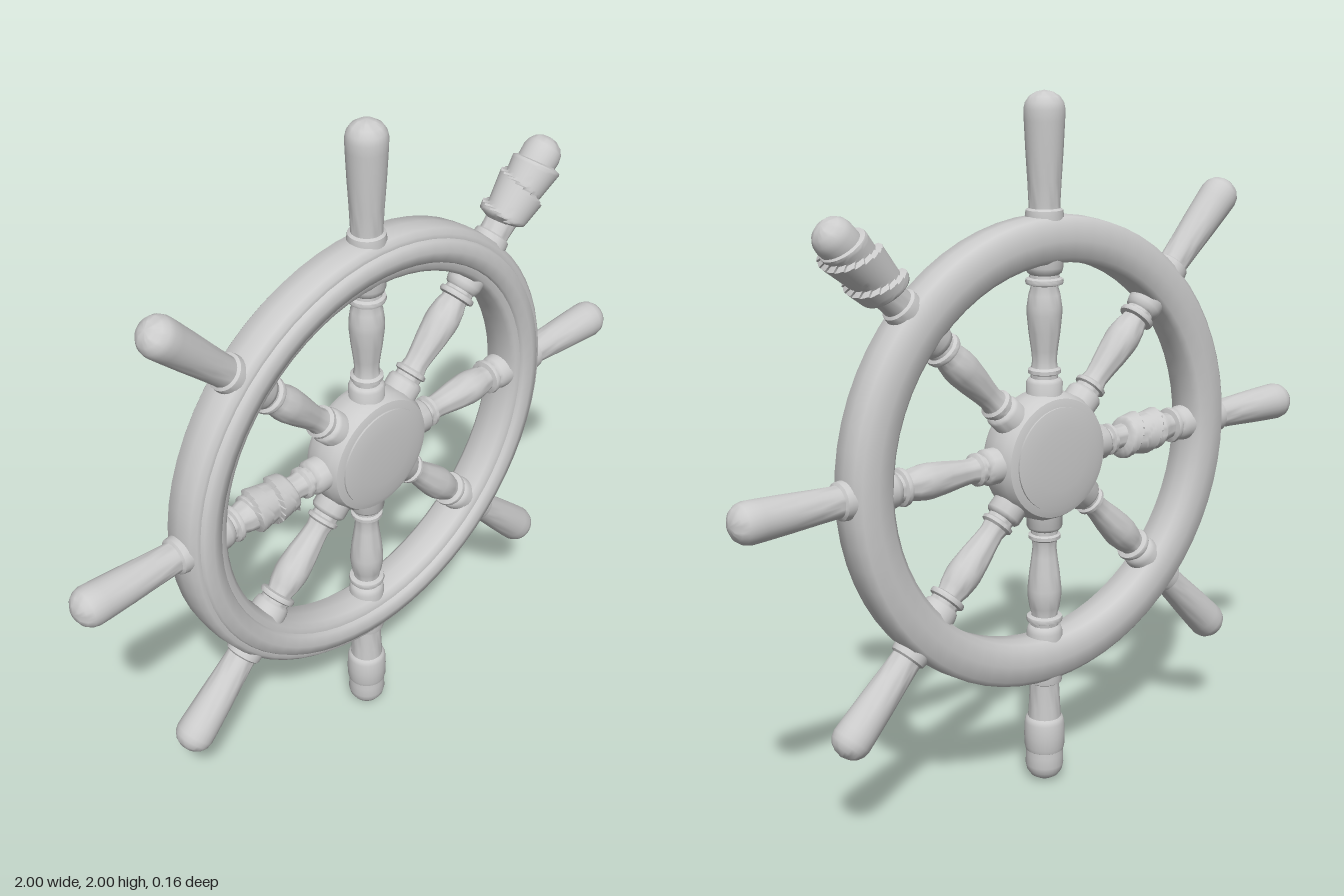
import * as THREE from 'three';
import { toCreasedNormals } from 'three/addons/utils/BufferGeometryUtils.js';

const material = new THREE.MeshStandardMaterial({ color: 0xcccccc });
const clothMaterial = new THREE.MeshStandardMaterial({ color: 0xcccccc, side: THREE.DoubleSide });

function lathe(points, segments, crease = 0.7) {
  const profile = points.map(([r, y]) => new THREE.Vector2(r, y));
  return toCreasedNormals(new THREE.LatheGeometry(profile, segments), crease);
}

function addMesh(parent, name, geometry, mat = material) {
  const mesh = new THREE.Mesh(geometry, mat);
  mesh.name = name;
  parent.add(mesh);
  return mesh;
}

// Cloth wound around a spoke: a sleeve whose radius steps along a helix
function wrapGeometry(from, to, radius, step, turns) {
  const length = to - from;
  const geometry = new THREE.CylinderGeometry(1, 1, length, 36, 36, true);
  const pos = geometry.attributes.position;
  const uv = geometry.attributes.uv;
  for (let i = 0; i < pos.count; i++) {
    const t = pos.getY(i) / length + 0.5;
    const phase = turns * t + uv.getX(i);
    const saw = phase - Math.floor(phase + 1e-6);
    const taper = Math.min(1, Math.min(t, 1 - t) / 0.06);
    const r = radius - 0.02 * (1 - taper) + step * saw * taper;
    // Slightly tilted ends
    const tilt = 0.2 * pos.getX(i) * radius;
    pos.setXYZ(i, pos.getX(i) * r, from + t * length + tilt, pos.getZ(i) * r);
  }
  return toCreasedNormals(geometry, 0.8);
}

export function createModel() {
  const model = new THREE.Group();
  model.name = 'shipWheel';
  const wheel = new THREE.Group();
  wheel.name = 'wheel';
  wheel.position.y = 1;
  model.add(wheel);

  // Rim with a raised moulding on the front
  addMesh(wheel, 'rim', lathe([
    [0.545, -0.045], [0.56, -0.06], [0.605, -0.066], [0.652, -0.06], [0.668, -0.045],
    [0.672, 0], [0.668, 0.045], [0.655, 0.058], [0.643, 0.058], [0.638, 0.068],
    [0.61, 0.075], [0.58, 0.068], [0.575, 0.058], [0.558, 0.056], [0.546, 0.045],
    [0.543, 0], [0.545, -0.045],
  ], 64, 0.95).rotateX(Math.PI / 2));

  // Hub drum
  addMesh(wheel, 'hub', lathe([
    [0, -0.066], [0.15, -0.066], [0.17, -0.06], [0.182, -0.04], [0.186, 0],
    [0.182, 0.04], [0.17, 0.06], [0.15, 0.066], [0, 0.066],
  ], 48).rotateX(Math.PI / 2));

  // Shallow domed caps on both faces of the hub
  for (const side of [1, -1]) {
    const cap = addMesh(wheel, side > 0 ? 'frontCap' : 'backCap', lathe([
      [0.148, 0.06], [0.148, 0.071], [0.13, 0.0745], [0.09, 0.078], [0.045, 0.0795], [0, 0.08],
    ], 48).rotateX(Math.PI / 2));
    if (side < 0) cap.rotation.y = Math.PI;
  }

  // Turned spoke and handle in one profile, from the hub out to the tip
  const spoke = lathe([
    [0.05, 0.12], [0.051, 0.21], [0.046, 0.218], [0.038, 0.222], [0.038, 0.232],
    [0.046, 0.236], [0.046, 0.246], [0.037, 0.252], [0.034, 0.27], [0.037, 0.3],
    [0.044, 0.35], [0.049, 0.4], [0.049, 0.42], [0.044, 0.455], [0.038, 0.475],
    [0.038, 0.48], [0.051, 0.484], [0.053, 0.491], [0.051, 0.498], [0.042, 0.502],
    [0.041, 0.51], [0.048, 0.516], [0.052, 0.53], [0.053, 0.56], [0.053, 0.67],
    [0.051, 0.685], [0.043, 0.69], [0.043, 0.7], [0.046, 0.76], [0.051, 0.84],
    [0.055, 0.92], [0.056, 0.95], [0.052, 0.968], [0.041, 0.984], [0.023, 0.995], [0, 1],
  ], 28, 0.75);

  // Eight spokes, clockwise from the top
  const spokes = [];
  for (let i = 0; i < 8; i++) {
    const group = new THREE.Group();
    group.name = `spoke${i + 1}`;
    group.rotation.z = -i * Math.PI / 4;
    addMesh(group, 'turnedSpoke', spoke);
    wheel.add(group);
    spokes.push(group);
  }

  // Cloth wraps on the upper handle and on the side spoke
  addMesh(spokes[1], 'handleWrap', wrapGeometry(0.73, 0.93, 0.06, 0.016, 2), clothMaterial);
  addMesh(spokes[6], 'spokeWrap', wrapGeometry(0.285, 0.44, 0.052, 0.014, 2), clothMaterial);

  // Raised band on the bottom handle
  addMesh(spokes[4], 'handleBand', lathe([
    [0.045, 0.795], [0.054, 0.802], [0.058, 0.815], [0.06, 0.855],
    [0.059, 0.89], [0.056, 0.902], [0.05, 0.906],
  ], 28));

  return model;
}
